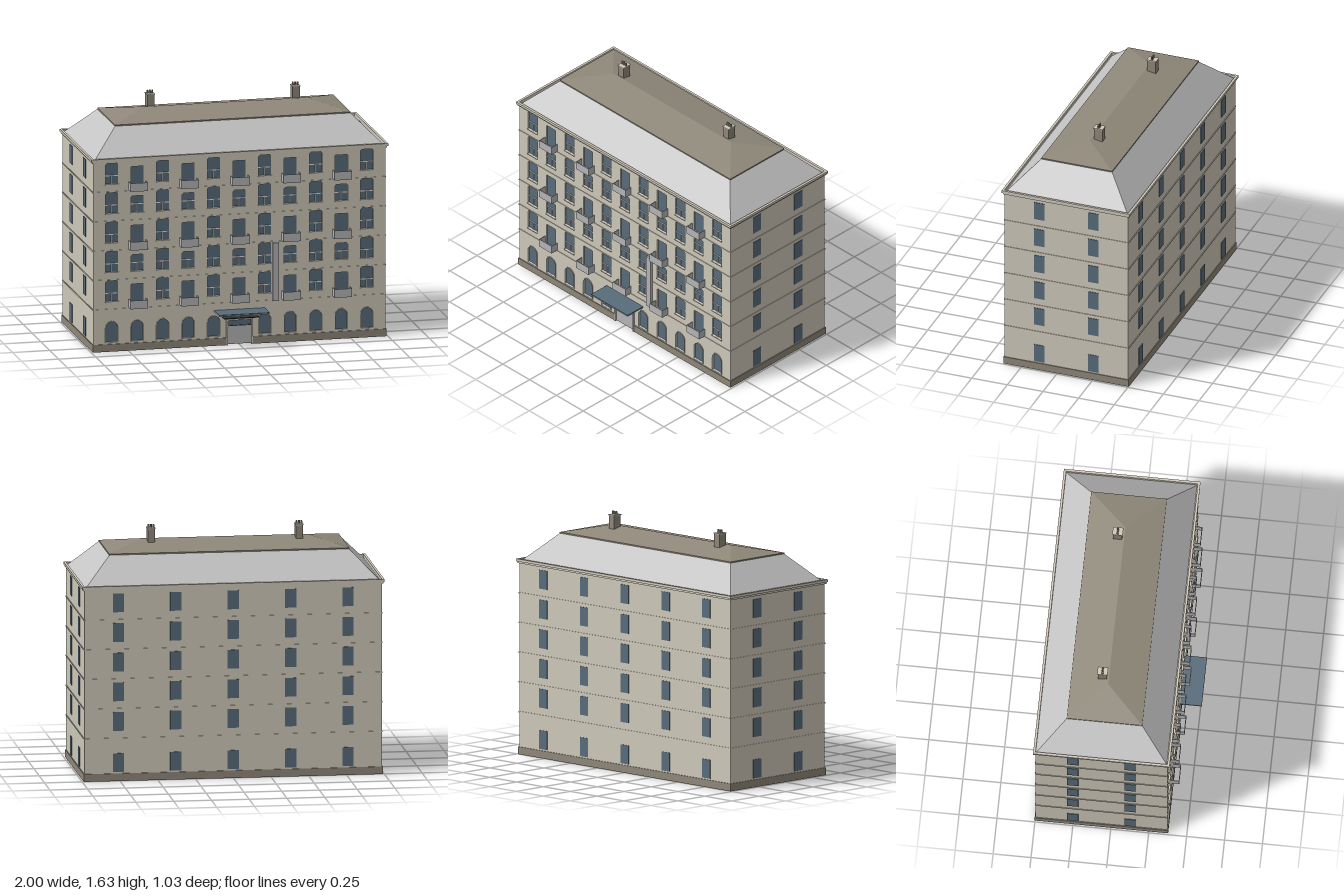
import * as THREE from 'three';

const mat = (name, color, double = true) => {
  const m = new THREE.MeshStandardMaterial({ color, side: double ? THREE.DoubleSide : THREE.FrontSide });
  m.name = name;
  return m;
};

export function createModel() {
  const root = new THREE.Group();
  root.name = 'apartmentBuilding';
  const wall = mat('cream plaster', 0xcfc9ba);
  const stone = mat('brown stone', 0x8f877a);
  const tile = mat('brown roof', 0x8f887a);
  const metal = mat('pale roof metal', 0xc4c4c4);
  const glass = mat('blue grey glass', 0x586c7b);
  const white = mat('white frame', 0xe4e2dc);
  const panel = mat('grey panel', 0xb6b6b8);
  const dark = mat('dark metal', 0x35383a);

  // Half sizes of the block, its centre in z, and its front and back planes
  const HX = 0.984, HZ = 0.434, CZ = -0.0625, F = CZ + HZ, B = CZ - HZ, TOP = 1.285;
  const FLOOR = 0.198;

  const add = (name, geometry, material, x = 0, y = 0, z = 0, parent = root) => {
    const m = new THREE.Mesh(geometry, material);
    m.name = name;
    m.position.set(x, y, z);
    parent.add(m);
    return m;
  };
  const box = (name, material, w, h, d, x, y, z, parent) =>
    add(name, new THREE.BoxGeometry(w, h, d), material, x, y, z, parent);
  const group = (name) => {
    const g = new THREE.Group();
    g.name = name;
    root.add(g);
    return g;
  };
  const extrude = (shape, depth) =>
    new THREE.ExtrudeGeometry(shape, { depth, bevelEnabled: false, curveSegments: 8 });
  const poly = (pts) => new THREE.Shape(pts.map(([x, y]) => new THREE.Vector2(x, y)));
  const rect = (hx, hy) => poly([[-hx, -hy], [hx, -hy], [hx, hy], [-hx, hy]]);

  // Horizontal moulding running round all four walls
  const ring = (name, material, out, y, h) => {
    const s = rect(HX + out, HZ + out);
    s.holes.push(rect(HX, HZ));
    add(name, extrude(s, h).rotateX(-Math.PI / 2), material, 0, y, CZ);
  };

  // Window openings
  const squareTop = (x, y0, y1, w = 0.0425, c = 0.009) => poly([
    [x - w, y0], [x + w, y0], [x + w, y1 - c], [x + w - c, y1], [x - w + c, y1], [x - w, y1 - c]]);
  const archTop = (x, y0, y1, r) => {
    const s = new THREE.Shape();
    s.moveTo(x - r, y0);
    s.lineTo(x + r, y0);
    s.lineTo(x + r, y1 - r);
    s.absarc(x, y1 - r, r, 0, Math.PI, false);
    s.closePath();
    return s;
  };

  // Front wall with its openings; the door cuts through the bottom edge
  const front = poly([[-HX, 0], [-0.08, 0], [-0.08, 0.165], [0.08, 0.165], [0.08, 0], [HX, 0], [HX, TOP], [-HX, TOP]]);
  const panes = group('frontGlass');
  const frames = group('windowFrames');
  const balconies = group('balconies');
  const GZ = F - 0.01;
  const opening = (shape) => {
    front.holes.push(shape);
    add('windowPane', new THREE.ShapeGeometry(shape, 8), glass, 0, 0, GZ, panes);
  };

  const casement = (x, y0, y1) => {
    opening(squareTop(x, y0, y1));
    const t = y0 + 0.055;
    box('transom', white, 0.085, 0.005, 0.006, x, t, GZ + 0.003, frames);
    box('mullion', white, 0.005, t - y0, 0.006, x, (t + y0) / 2, GZ + 0.003, frames);
    box('sill', wall, 0.092, 0.006, 0.01, x, y0 - 0.003, F + 0.003, frames);
  };

  // Three thin railing panels
  const balcony = (x, y) => {
    box('balconyFront', panel, 0.118, 0.057, 0.004, x, y, F + 0.052, balconies);
    for (const s of [-1, 1])
      box('balconySide', panel, 0.004, 0.057, 0.052, x + s * 0.057, y, F + 0.026, balconies);
  };

  for (let c = 0; c < 11; c++) {
    const x = (c - 5) * 0.172;
    for (let r = 0; r < 5; r++) {
      const y = r * FLOOR;
      if (c % 2 === 0) casement(x, 0.337 + y, 0.476 + y);
      else if (r % 2 === 1) casement(x, 0.337 + y, 0.447 + y);
      else {
        opening(squareTop(x, 0.291 + y, 0.447 + y, 0.0425, 0.003));
        balcony(x, 0.318 + y);
      }
    }
    if (c === 5) continue;
    // Arched ground-floor window with a raised surround
    opening(archTop(x, 0.06, 0.2, 0.04));
    const trim = archTop(x, 0.058, 0.205, 0.045);
    trim.holes.push(archTop(x, 0.06, 0.2, 0.04));
    add('archSurround', extrude(trim, 0.005), wall, 0, 0, F, frames);
    box('archSill', white, 0.084, 0.005, 0.014, x, 0.0605, F - 0.004, frames);
  }
  add('frontWall', extrude(front, 0.014), wall, 0, 0, F - 0.014);

  // Plain back and side walls, open underneath
  add('backWall', new THREE.PlaneGeometry(2 * HX, TOP).rotateY(Math.PI), wall, 0, TOP / 2, B);
  for (const s of [-1, 1])
    add('sideWall', new THREE.PlaneGeometry(2 * HZ, TOP).rotateY(s * Math.PI / 2), wall, s * HX, TOP / 2, CZ);

  // Windows on the back and sides
  const flat = group('backAndSideWindows');
  for (let r = 0; r < 6; r++) {
    const y = (r ? 0.395 : 0.122) + Math.max(0, r - 1) * FLOOR + (r ? 0.002 : 0);
    for (let i = -2; i <= 2; i++)
      box('backWindow', glass, 0.074, 0.125, 0.004, i * 0.38, y, B - 0.0015, flat);
    for (const s of [-1, 1]) for (const k of [-1, 1])
      box('sideWindow', glass, 0.004, 0.125, 0.074, s * (HX + 0.0015), y, CZ + k * 0.19, flat);
  }

  // Plinth, leaving a gap for the door
  const P = 0.006, PH = 0.05;
  for (const s of [-1, 1]) {
    box('plinthFront', stone, HX + P - 0.09, PH, P, s * (HX + P + 0.09) / 2, PH / 2, F + P / 2);
    box('plinthSide', stone, P, PH, 2 * HZ, s * (HX + P / 2), PH / 2, CZ);
  }
  box('plinthBack', stone, 2 * (HX + P), PH, P, 0, PH / 2, B - P / 2);

  // String courses and stepped cornice
  for (let i = 0; i < 5; i++) ring('stringCourse', wall, 0.004, 0.279 + i * FLOOR, 0.008);
  ring('corniceLower', wall, 0.009, 1.273, 0.012);
  ring('corniceUpper', wall, 0.016, 1.285, 0.017);

  // Sloped roof between a lower and an upper rectangle
  const slopes = (x0, z0, y0, x1, z1, y1) => {
    const loop = (x, y, z) => [[-x, y, z], [x, y, z], [x, y, -z], [-x, y, -z]];
    const a = loop(x0, y0, z0), b = loop(x1, y1, z1), v = [];
    for (let i = 0; i < 4; i++) {
      const j = (i + 1) % 4;
      v.push(...a[i], ...a[j], ...b[j]);
      if (z1 > 0 || i % 2 === 0) v.push(...a[i], ...b[j], ...b[i]);
    }
    const g = new THREE.BufferGeometry();
    g.setAttribute('position', new THREE.Float32BufferAttribute(v, 3));
    g.computeVertexNormals();
    return g;
  };
  add('mansardRoof', slopes(HX, HZ, 1.28, 0.79, 0.245, 1.476), metal, 0, 0, CZ);
  box('roofEdge', tile, 1.59, 0.008, 0.498, 0, 1.476, CZ);
  add('hippedRoof', slopes(0.795, 0.249, 1.48, 0.55, 0, 1.532), tile, 0, 0, CZ);

  // Chimneys with three pots each
  for (const s of [-1, 1]) {
    const x = s * 0.49, z = -0.105;
    box('chimneyStack', stone, 0.048, 0.11, 0.06, x, 1.55, z);
    box('chimneyCap', wall, 0.054, 0.006, 0.068, x, 1.608, z);
    for (const k of [-1, 0, 1])
      add('chimneyPot', new THREE.CylinderGeometry(0.006, 0.007, 0.022, 8), stone, x + k * 0.016, 1.621, z);
  }

  // Entrance: surround, door leaf, fanlight and rail
  for (const s of [-1, 1]) box('doorJamb', wall, 0.01, 0.17, 0.016, s * 0.085, 0.085, F + 0.003);
  box('doorLintel', wall, 0.18, 0.008, 0.016, 0, 0.169, F + 0.003);
  box('doorLeaf', panel, 0.16, 0.122, 0.006, 0, 0.066, F - 0.004);
  box('doorRail', dark, 0.16, 0.005, 0.01, 0, 0.1285, F - 0.003);
  box('fanlight', glass, 0.16, 0.036, 0.004, 0, 0.148, F - 0.004);

  // Canopies over the entrance
  box('lowerCanopy', dark, 0.236, 0.006, 0.066, 0, 0.192, F + 0.033);
  box('upperCanopy', panel, 0.34, 0.005, 0.1435, 0, 0.23, F + 0.07175);
  box('canopyTop', glass, 0.34, 0.005, 0.1435, 0, 0.235, F + 0.07175);

  // Blank vertical sign board
  box('signBoard', panel, 0.042, 0.392, 0.016, 0.241, 0.479, F + 0.0145);
  for (const y of [0.34, 0.62]) box('signBracket', dark, 0.008, 0.008, 0.01, 0.241, y, F + 0.003);

  return root;
}
